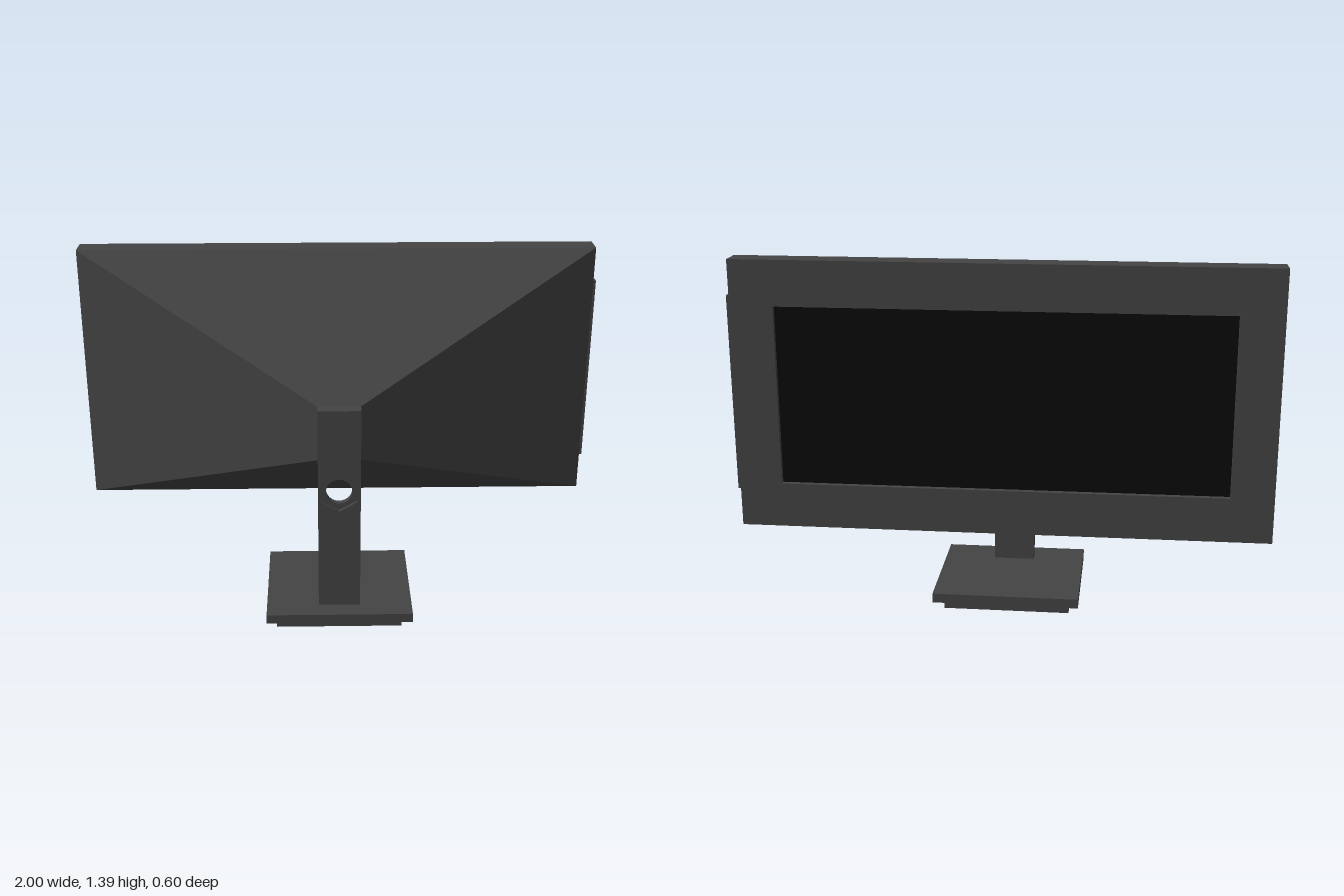
import * as THREE from 'three';

const casing = new THREE.MeshStandardMaterial({ color: 0x444444, flatShading: true });
const glass = new THREE.MeshStandardMaterial({ color: 0x0a0a0a, flatShading: true });

export function createModel() {
  const model = new THREE.Group();
  model.name = 'monitor';

  const add = (name, geometry, material = casing) => {
    const mesh = new THREE.Mesh(geometry, material);
    mesh.name = name;
    model.add(mesh);
    return mesh;
  };

  // Box given by its limits on each axis
  const boxGeometry = (x0, x1, y0, y1, z0, z1) =>
    new THREE.BoxGeometry(x1 - x0, y1 - y0, z1 - z0)
      .translate((x0 + x1) / 2, (y0 + y1) / 2, (z0 + z1) / 2);

  const rectangle = (Type, x0, x1, y0, y1) => new Type([
    new THREE.Vector2(x0, y0), new THREE.Vector2(x1, y0),
    new THREE.Vector2(x1, y1), new THREE.Vector2(x0, y1),
  ]);

  // Regular polygon with a corner at the top
  const polygon = (Type, cx, cy, r, sides) => new Type(
    Array.from({ length: sides }, (_, i) => {
      const a = Math.PI / 2 + (i / sides) * Math.PI * 2;
      return new THREE.Vector2(cx + r * Math.cos(a), cy + r * Math.sin(a));
    }));

  const extrude = (shape, z0, z1) =>
    new THREE.ExtrudeGeometry(shape, { depth: z1 - z0, bevelEnabled: false }).translate(0, 0, z0);

  // Bezel with the screen slightly recessed in it
  const bezel = rectangle(THREE.Shape, -1, 0.99, 0.375, 1.392);
  bezel.holes.push(rectangle(THREE.Path, -0.84, 0.83, 0.545, 1.222));
  add('bezel', extrude(bezel, -0.3, -0.207));
  add('screen', boxGeometry(-0.84, 0.83, 0.545, 1.222, -0.28, -0.207), glass);
  add('sideStrip', boxGeometry(0.99, 1, 0.52, 1.26, -0.299, -0.208));

  // Housing tapers from the bezel to the stand
  const housing = boxGeometry(-1, 0.99, 0.375, 1.392, -0.207, 0.18);
  const p = housing.attributes.position;
  for (let i = 0; i < p.count; i++) {
    if (p.getZ(i) > 0) {
      p.setXY(i, p.getX(i) > 0 ? 0.077 : -0.085, p.getY(i) > 0.8 ? 0.9 : 0.682);
    }
  }
  housing.computeVertexNormals();
  add('housing', housing);

  // Upright with a six-sided opening and a round cable ring inside it
  const cx = -0.005, cy = 0.565;
  const upright = rectangle(THREE.Shape, -0.085, 0.077, 0.07, 0.9);
  upright.holes.push(polygon(THREE.Path, cx, cy, 0.078, 6));
  add('upright', extrude(upright, 0.175, 0.225));
  const ring = polygon(THREE.Shape, cx, cy, 0.078, 6);
  ring.holes.push(polygon(THREE.Path, cx, cy, 0.05, 24));
  add('cableRing', extrude(ring, 0.188, 0.212));

  // Stepped base
  add('basePlate', boxGeometry(-0.288, 0.28, 0.04, 0.077, -0.21, 0.3));
  add('baseFoot', boxGeometry(-0.25, 0.24, 0, 0.04, -0.17, 0.26));

  return model;
}
